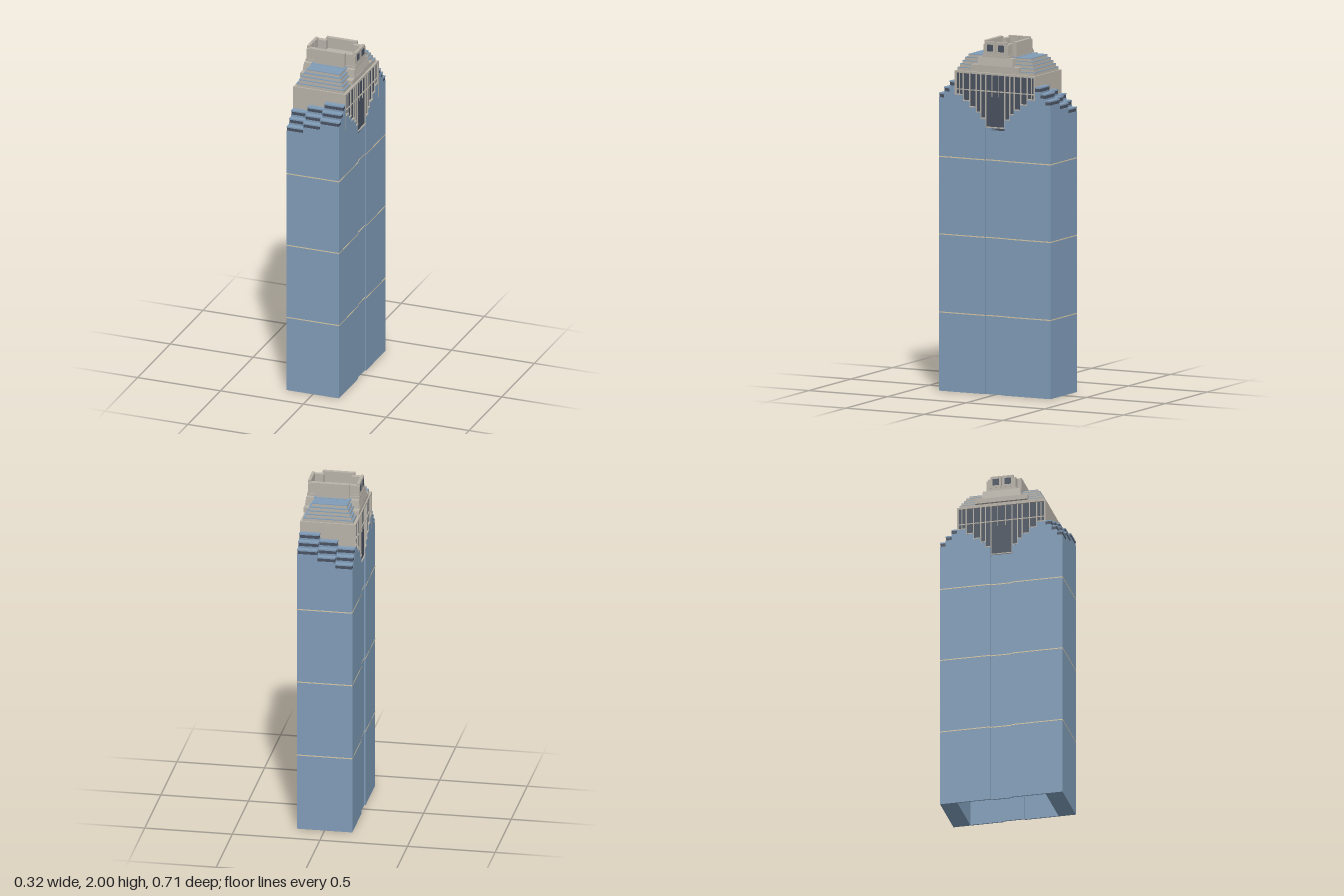
import * as THREE from 'three';

const mat = (name, color) => {
  const m = new THREE.MeshStandardMaterial({ color });
  m.name = name;
  return m;
};

export function createModel() {
  const blue = mat('blueCladding', 0x809cb8);
  const stone = mat('warmGreyStone', 0xb8b3a9);
  const glass = mat('darkGlass', 0x4a5362);
  const cream = mat('creamBand', 0xd6c8a6);
  const root = new THREE.Group();
  root.name = 'tower';

  const add = (name, geometry, material) => {
    const mesh = new THREE.Mesh(geometry, material);
    mesh.name = name;
    root.add(mesh);
    return mesh;
  };
  // Box given by its limits on each axis
  const box = (name, material, x0, x1, y0, y1, z0, z1) => {
    const g = new THREE.BoxGeometry(Math.abs(x1 - x0), y1 - y0, Math.abs(z1 - z0));
    g.translate((x0 + x1) / 2, (y0 + y1) / 2, (z0 + z1) / 2);
    return add(name, g, material);
  };
  const centred = (name, material, x, y0, y1, z) => box(name, material, -x, x, y0, y1, -z, z);

  const X = 0.158, Z = 0.354, ZI = 0.255, XR = 0.15;
  const SIDES = [1, -1];

  // Stepped end shoulders: three columns by three rows at each end
  const cols = [-X, -0.06, 0.042, X];
  const rows = [Z, 0.322, 0.289, ZI];
  for (const s of SIDES) {
    for (let c = 0; c < 3; c++) {
      for (let r = 0; r < 3; r++) {
        const top = 1.62 + 0.036 * (c + r);
        const [x0, x1, z0, z1] = [cols[c], cols[c + 1], rows[r], rows[r + 1]];
        box('shoulderBlock', blue, x0, x1, 0, top - 0.026, s * z0, s * z1);
        box('shoulderLouvre', glass, x0 + 0.002, x1 - 0.002, top - 0.026, top - 0.008,
          s * (z0 - 0.002), s * (z1 + 0.001));
        box('shoulderCap', blue, x0, x1, top - 0.008, top, s * z0, s * z1);
      }
    }
  }

  // Side walls stepping down to a shallow central recess
  const steps = [[0.255, 1.687], [0.204, 1.655], [0.162, 1.622], [0.12, 1.595], [0.093, 1.562], [0.061, 1.515]];
  for (const s of SIDES) {
    for (const t of SIDES) {
      const shape = new THREE.Shape();
      shape.moveTo(0.061, 0);
      shape.lineTo(ZI, 0);
      for (let i = 0; i < 5; i++) {
        shape.lineTo(steps[i][0], steps[i][1]);
        shape.lineTo(steps[i + 1][0], steps[i][1]);
      }
      const g = new THREE.ExtrudeGeometry(shape, { depth: 0.008, bevelEnabled: false });
      g.translate(0, 0, -0.004);
      g.rotateY(-t * Math.PI / 2);
      g.translate(s * (X - 0.004), 0, 0);
      add('sideWall', g, blue);
      // Pale sills on the wall steps
      for (let i = 0; i < 5; i++) {
        const [z, y] = steps[i];
        box('stepSill', stone, s * XR, s * (X + 0.001), y, y + 0.006, t * z, t * steps[i + 1][0]);
        // Mullions rising from each step
        if (i) box('mullion', stone, s * XR, s * 0.155, y, 1.815, t * (z - 0.003), t * (z + 0.003));
      }
      box('mullion', stone, s * XR, s * 0.155, 1.515, 1.815, t * 0.058, t * 0.064);
      box('endMullion', stone, s * XR, s * 0.156, 1.687, 1.815, t * 0.247, t * 0.255);
      for (const z of [0.022, 0.229]) {
        box('shortMullion', stone, s * XR, s * 0.154, 1.69, 1.815, t * (z - 0.002), t * (z + 0.002));
      }
    }
    box('recessWall', blue, s * (XR - 0.008), s * XR, 0, 1.517, -0.061, 0.061);
    box('recessSill', stone, s * 0.145, s * 0.157, 1.513, 1.519, -0.061, 0.061);
    box('transom', stone, s * XR, s * 0.155, 1.717, 1.723, -0.25, 0.25);
  }

  // Glazed upper core with solid end faces and roof ledge
  centred('glazedCore', glass, XR, 1.5, 1.815, 0.25);
  for (const s of SIDES) box('endFacade', stone, -X, X, 1.6, 1.815, s * 0.246, s * ZI);
  centred('roofLedge', stone, X, 1.813, 1.824, ZI);

  // Thin bands around the shaft
  for (const y of [0.447, 0.89, 1.33]) {
    for (const s of SIDES) {
      box('endBand', cream, -X, X, y - 0.003, y + 0.003, s * (Z - 0.001), s * (Z + 0.001));
      for (const t of SIDES) {
        box('sideBand', cream, s * (X - 0.001), s * (X + 0.001), y - 0.003, y + 0.003, t * 0.061, t * Z);
      }
      box('recessBand', cream, s * (XR - 0.001), s * (XR + 0.001), y - 0.003, y + 0.003, -0.061, 0.061);
    }
  }

  // Stepped roof tiers with blue tops
  const tiers = [[0.143, 0.245, 1.843], [0.132, 0.235, 1.862], [0.122, 0.225, 1.88], [0.112, 0.214, 1.898], [0.1, 0.198, 1.915]];
  let base = 1.82;
  for (const [x, z, top] of tiers) {
    centred('roofTier', stone, x, base, top - 0.003, z);
    centred('roofTierTop', blue, x, top - 0.003, top, z);
    base = top - 0.003;
  }

  // Projecting side bays, tapering above their corner blocks
  for (const s of SIDES) box('bayBase', stone, s * 0.12, s * X, 1.838, 1.866, -0.152, 0.152);
  const taper = new THREE.BoxGeometry(0.314, 0.047, 0.226);
  const p = taper.attributes.position;
  for (let i = 0; i < p.count; i++) {
    if (p.getY(i) > 0) p.setXYZ(i, p.getX(i) * 0.955, p.getY(i), p.getZ(i) * 0.96);
  }
  taper.computeVertexNormals();
  taper.translate(0, 1.8895, 0);
  add('taperedBay', taper, stone);
  centred('terraceStrip', blue, 0.105, 1.91, 1.916, 0.115);
  centred('crownBase', stone, 0.15, 1.912, 1.925, 0.085);
  centred('crownFloor', stone, 0.147, 1.925, 1.936, 0.08);

  // Open crown: end parapets, corner piers and windowed side walls
  for (const t of SIDES) {
    box('endParapet', stone, -0.092, 0.092, 1.914, 2, t * 0.079, t * 0.102);
    for (const s of SIDES) {
      box('cornerPier', stone, s * 0.08, s * 0.132, 1.93, 1.99, t * 0.053, t * 0.079);
      box('crownSideWall', stone, s * 0.131, s * 0.148, 1.93, 2, t * 0.003, t * 0.066);
      box('crownWallReturn', stone, s * 0.131, s * 0.146, 1.93, 1.985, t * 0.066, t * 0.079);
      box('crownWindow', glass, s * 0.147, s * 0.1495, 1.946, 1.984, t * 0.016, t * 0.054);
    }
  }
  return root;
}
